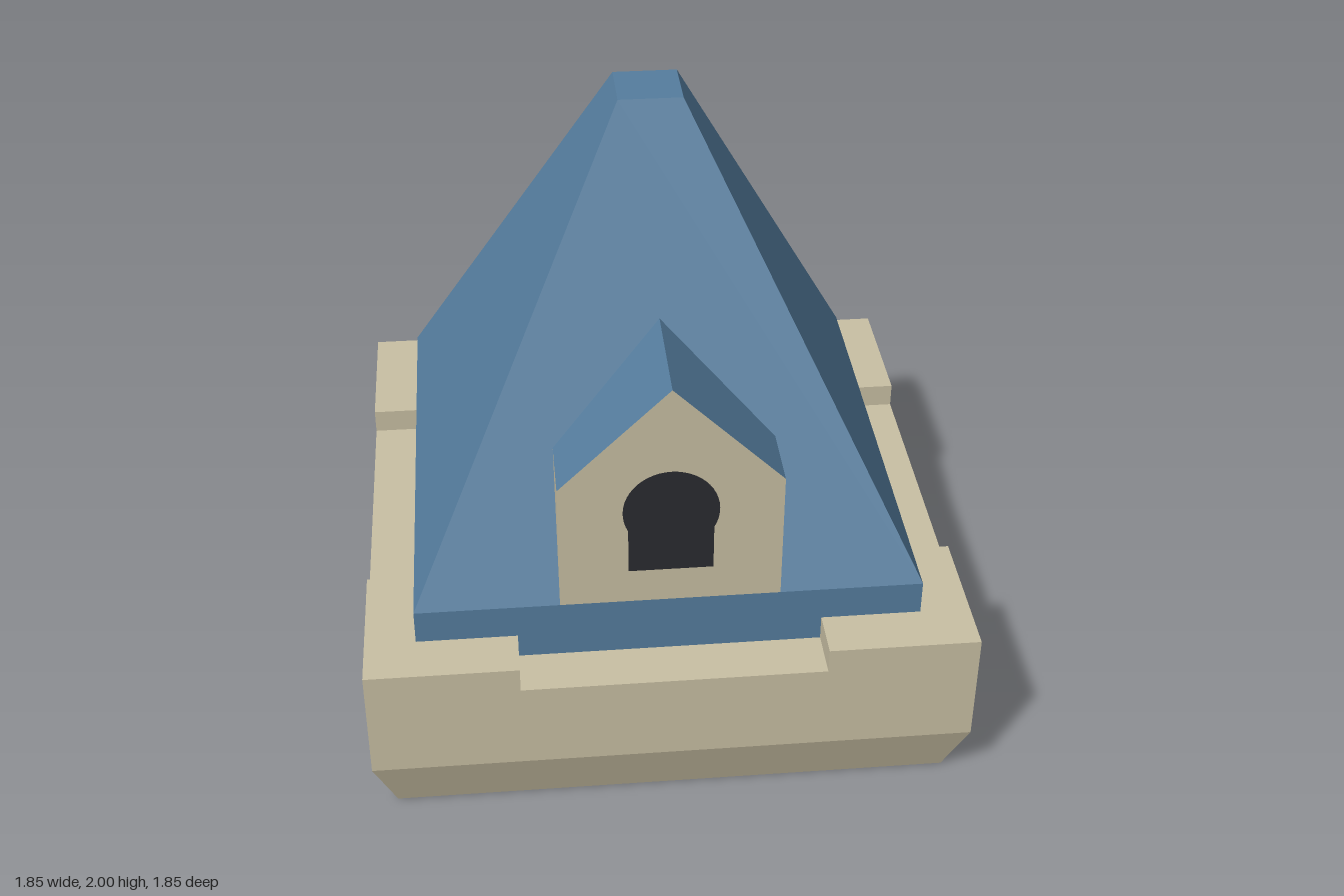
import * as THREE from 'three';

const mat = (color) => new THREE.MeshStandardMaterial({ color, flatShading: true });
const EAVE = 0.77, EAVE_Y = 0.67, TOP = 0.097, TOP_Y = 2, WALL = 0.925, LEDGE_Y = 0.48;

// Depth of the sloping roof face at a given height
const roofZ = (y) => EAVE + (TOP - EAVE) * (y - EAVE_Y) / (TOP_Y - EAVE_Y);

function mesh(name, geometry, material) {
  const g = geometry.index ? geometry.toNonIndexed() : geometry;
  g.computeVertexNormals();
  const m = new THREE.Mesh(g, material);
  m.name = name;
  return m;
}

// Square solid from a profile of [half width, height], bottom to top
function squareLathe(profile) {
  const pts = profile.map(([w, y]) => new THREE.Vector2(w * Math.SQRT2, y));
  return new THREE.LatheGeometry(pts, 4, Math.PI / 4);
}

// Flat convex polygon, corners counter-clockwise seen from its front
function polygon(corners) {
  const pos = [];
  for (let i = 1; i < corners.length - 1; i++) pos.push(...corners[0], ...corners[i], ...corners[i + 1]);
  return new THREE.BufferGeometry().setAttribute('position', new THREE.Float32BufferAttribute(pos, 3));
}

// Keyhole outline: straight sides running into a larger round head
function windowPath(path) {
  const w = 0.127, r = 0.143, cy = 1.0;
  const a = Math.acos(w / r);
  path.moveTo(-w, 0.785);
  path.lineTo(w, 0.785);
  path.absarc(0, cy, r, -a, Math.PI + a, false);
  path.closePath();
  return path;
}

function createDormer(stone, blue, dark) {
  const dormer = new THREE.Group();
  dormer.name = 'dormer';
  const w = 0.333, y0 = EAVE_Y, y1 = 1.095, y2 = 1.425, z = EAVE;

  // Gable wall with its window
  const wall = new THREE.Shape([[-w, y0], [w, y0], [w, y1], [0, y2], [-w, y1]]
    .map(([x, y]) => new THREE.Vector2(x, y)));
  wall.holes.push(windowPath(new THREE.Path()));
  const gable = mesh('gableWall', new THREE.ShapeGeometry(wall, 16), stone);
  const pane = mesh('window', new THREE.ShapeGeometry(windowPath(new THREE.Shape()), 16), dark);
  gable.position.z = pane.position.z = z;
  dormer.add(gable, pane);

  // Side cheeks and roof slopes, ending on the main roof
  for (const s of [-1, 1]) {
    const cheek = [[s * w, y0, z], [s * w, y1, roofZ(y1)], [s * w, y1, z]];
    const slope = [[s * w, y1, z], [s * w, y1, roofZ(y1)], [0, y2, roofZ(y2)], [0, y2, z]];
    if (s < 0) { cheek.reverse(); slope.reverse(); }
    dormer.add(mesh('dormerCheek', polygon(cheek), stone), mesh('dormerRoof', polygon(slope), blue));
  }
  return dormer;
}

export function createModel() {
  const model = new THREE.Group();
  model.name = 'tower roof';
  const stone = mat(0xc8bfa3), blue = mat(0x557d9e), dark = mat(0x2a2b30);
  stone.side = blue.side = dark.side = THREE.DoubleSide;

  // Stone base with a tapered foot
  model.add(mesh('base', squareLathe([[0, 0], [0.86, 0], [WALL, 0.19], [WALL, LEDGE_Y], [0, LEDGE_Y]]), stone));

  // Raised L-shaped parapet corners
  const c = 0.463;
  const corner = new THREE.Shape([[c, EAVE], [EAVE, EAVE], [EAVE, c], [WALL, c], [WALL, WALL], [c, WALL]]
    .map(([x, y]) => new THREE.Vector2(x, y)));
  for (let i = 0; i < 4; i++) {
    const geo = new THREE.ExtrudeGeometry(corner, { depth: 0.08, bevelEnabled: false });
    const block = mesh('parapetCorner', geo.rotateX(-Math.PI / 2), stone);
    block.position.y = LEDGE_Y;
    block.rotation.y = i * Math.PI / 2;
    model.add(block);
  }

  // Steep roof with a flat tip
  model.add(mesh('roof', squareLathe([[EAVE, LEDGE_Y], [EAVE, EAVE_Y], [TOP, TOP_Y], [0, TOP_Y]]), blue));

  // Front and back dormers
  for (const turn of [0, Math.PI]) {
    const dormer = createDormer(stone, blue, dark);
    dormer.rotation.y = turn;
    model.add(dormer);
  }
  return model;
}
